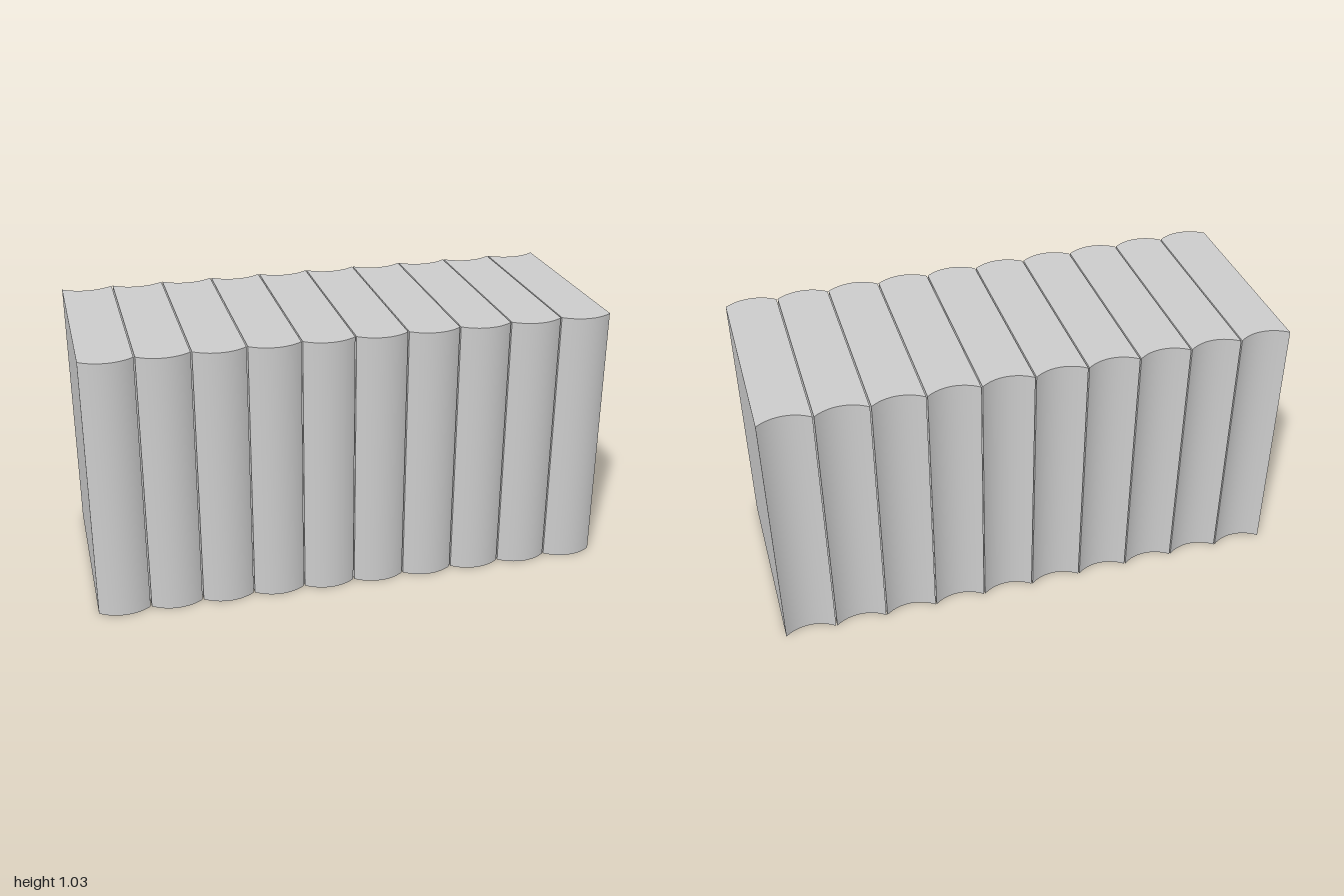
import * as THREE from 'three';
import { toCreasedNormals } from 'three/addons/utils/BufferGeometryUtils.js';

const COUNT = 10, PITCH = 0.2005, WIDTH = 0.1955, HEIGHT = 1.027;
const DEPTH = 0.824, SAG = 0.035;

// Plan of one book: rounded spine at the front, matching hollow at the back
function bookGeometry() {
  const half = WIDTH / 2;
  const radius = (half * half + SAG * SAG) / (2 * SAG);
  const angle = Math.asin(half / radius);
  const frontCentre = DEPTH / 2 - radius;
  const backCentre = -DEPTH / 2 + SAG - radius;
  const steps = 16;
  const points = [];
  for (const [centre, dir] of [[frontCentre, 1], [backCentre, -1]]) {
    for (let i = 0; i <= steps; i++) {
      const a = dir * angle * (1 - (2 * i) / steps);
      points.push(new THREE.Vector2(radius * Math.sin(a), -(centre + radius * Math.cos(a))));
    }
  }
  const geometry = new THREE.ExtrudeGeometry(new THREE.Shape(points), {
    depth: HEIGHT, bevelEnabled: false, steps: 1,
  });
  geometry.rotateX(-Math.PI / 2);
  return toCreasedNormals(geometry, 0.5);
}

export function createModel() {
  const group = new THREE.Group();
  group.name = 'bookRow';
  const geometry = bookGeometry();
  const material = new THREE.MeshStandardMaterial({ color: 0xcccccc });

  // Identical books standing side by side with hairline gaps
  for (let i = 0; i < COUNT; i++) {
    const book = new THREE.Mesh(geometry, material);
    book.name = `book${i + 1}`;
    book.position.x = (i - (COUNT - 1) / 2) * PITCH;
    group.add(book);
  }
  return group;
}
